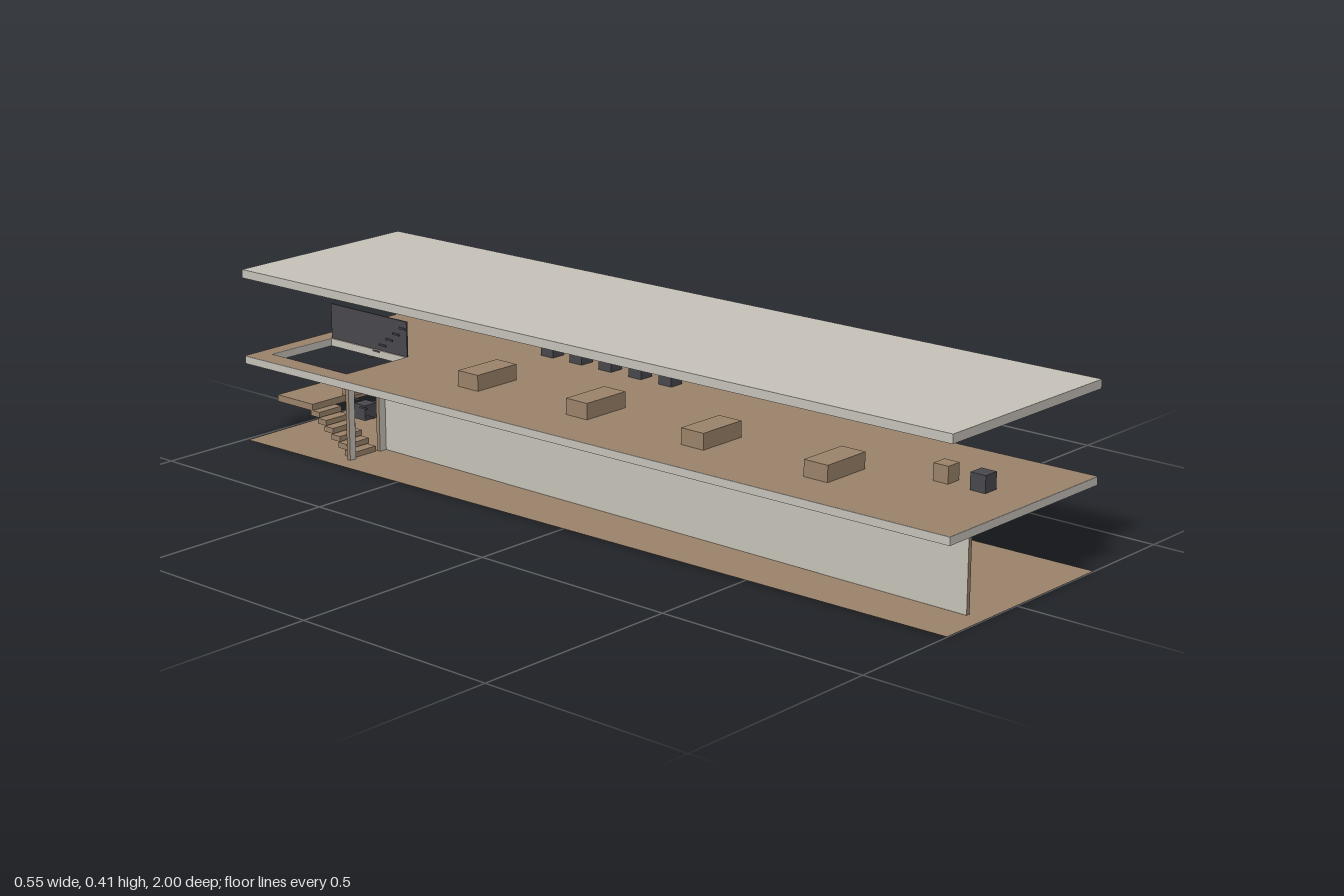
import * as THREE from 'three';

const mat = (name, color) => {
  const m = new THREE.MeshStandardMaterial({ color });
  m.name = name;
  return m;
};

export function createModel() {
  const root = new THREE.Group();
  root.name = 'pavilion';
  const concrete = mat('pale concrete', 0xc9c5bc);
  const wood = mat('brown wood', 0x9c846b);
  const dark = mat('charcoal', 0x4a494e);
  const floorBrown = mat('brown floor', 0x9c846b);
  floorBrown.side = THREE.DoubleSide;

  const add = (name, geo, material, parent = root) => {
    const mesh = new THREE.Mesh(geo, material);
    mesh.name = name;
    parent.add(mesh);
    return mesh;
  };
  const group = (name) => {
    const g = new THREE.Group();
    g.name = name;
    root.add(g);
    return g;
  };
  // Box given by its minimum and maximum on each axis
  const block = (name, [x0, x1], [y0, y1], [z0, z1], material, parent) => {
    const mesh = add(name, new THREE.BoxGeometry(x1 - x0, y1 - y0, z1 - z0), material, parent);
    mesh.position.set((x0 + x1) / 2, (y0 + y1) / 2, (z0 + z1) / 2);
    return mesh;
  };
  const polygon = (Type, pts) => new Type(pts.map(([x, z]) => new THREE.Vector2(x, -z)));

  // Slightly skewed plan shared by the floor, deck and roof
  const plan = () => polygon(THREE.Shape, [[-0.234, 1], [0.273, 1], [0.232, -1], [-0.275, -0.99]]);
  const deckPlan = plan();
  deckPlan.holes.push(polygon(THREE.Path,
    [[-0.225, -0.7], [-0.036, -0.7], [-0.036, -0.955], [-0.225, -0.955]]));

  const slab = (name, shape, y0, y1) => {
    const geo = new THREE.ExtrudeGeometry(shape, { depth: y1 - y0, bevelEnabled: false });
    add(name, geo.rotateX(-Math.PI / 2), concrete).position.y = y0;
  };
  const sheet = (name, shape, y) =>
    add(name, new THREE.ShapeGeometry(shape).rotateX(-Math.PI / 2), floorBrown).position.y = y;

  sheet('groundFloor', plan(), 0.001);
  slab('upperDeck', deckPlan, 0.187, 0.205);
  sheet('deckFloor', deckPlan, 0.206);
  slab('roof', plan(), 0.392, 0.412);

  // Walls: pale faces with brown edges, and an optional doorway
  const wall = (name, x0, x1, door) => {
    const b = 0.002, t = 0.187;
    const pts = [[x0, b]];
    if (door) pts.push([door[0], b], [door[0], 0.174], [door[1], 0.174], [door[1], b]);
    pts.push([x1, b], [x1, t], [x0, t]);
    const shape = new THREE.Shape(pts.map(([x, y]) => new THREE.Vector2(x, y)));
    const geo = new THREE.ExtrudeGeometry(shape, { depth: 0.01, bevelEnabled: false });
    return add(name, geo, [concrete, wood]);
  };
  wall('entranceCrossWall', -0.024, 0.228, [0.014, 0.089]).position.z = -0.461;
  wall('stairCrossWall', -0.228, -0.032, [-0.21, -0.134]).position.z = -0.702;
  const long = wall('longWall', -0.96, 0.7);
  long.rotation.y = Math.PI / 2;
  long.position.x = -0.1145;

  // Ground floor furniture
  block('receptionDesk', [-0.055, 0.085], [0.002, 0.074], [0.77, 0.815], wood);
  const plinths = group('displayPlinths');
  for (let i = 0; i < 4; i++) {
    const z = 0.48 - i * 0.263;
    block('plinth', [0, 0.046], [0, 0.118], [z - 0.07, z + 0.07], concrete, plinths);
  }
  const seats = group('seats');
  const seat = (x, y, z, material) =>
    block('seat', [x - 0.019, x + 0.019], [y, y + 0.038], [z - 0.019, z + 0.019], material, seats);
  seat(0.104, 0.002, -0.909, wood);
  seat(0.033, 0, -0.918, dark);

  // Upper deck furniture
  seat(0.046, 0.206, 0.877, dark);
  seat(0.046, 0.206, 0.785, wood);
  for (let i = 0; i < 5; i++) seat(0.2035, 0.206, -0.096 - i * 0.091, dark);
  const desks = group('desks');
  for (let i = 0; i < 4; i++) {
    const z = 0.585 - i * 0.331;
    block('desk', [-0.127, -0.003], [0.206, 0.243], [z - 0.031, z + 0.031], wood, desks);
  }

  // Two-flight staircase with a landing
  const stairs = group('staircase');
  const rise = 0.0148, run = 0.0225;
  block('landing', [-0.21, -0.036], [0.088, 0.104], [-0.955, -0.835], wood, stairs);
  for (let i = 0; i < 6; i++) {
    const z = -0.7 - i * run, y = i * rise;
    block('lowerStep', [-0.21, -0.14], [y + 0.002, y + rise], [z - run - 0.006, z], wood, stairs);
    const zu = -0.835 + i * run, yu = 0.104 + i * rise;
    block('upperStep', [-0.11, -0.036], [yu, yu + rise], [zu - 0.006, zu + run], wood, stairs);
    // Short handrail rods climbing beside each flight
    const yr = 0.083 + i * 0.0174, yv = 0.185 + i * 0.0174;
    block('lowerRod', [-0.1455, -0.1415], [yr - 0.002, yr + 0.002], [z - run, z], dark, stairs);
    block('upperRod', [-0.038, -0.034], [yv - 0.002, yv + 0.002], [zu, zu + run], dark, stairs);
  }
  block('stairGuardPanel', [-0.034, -0.03], [0.206, 0.29], [-0.955, -0.7], dark);

  return root;
}
